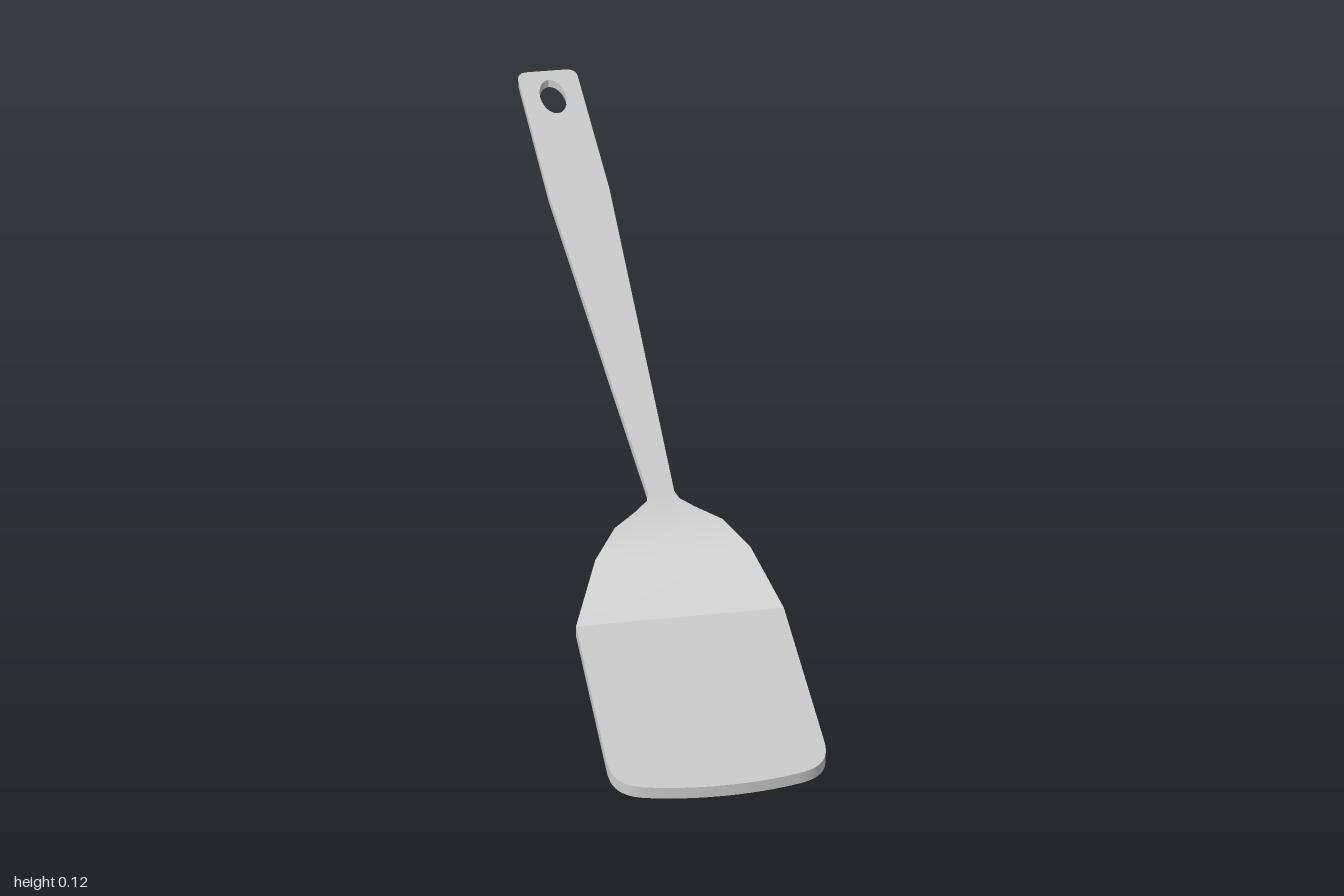
import * as THREE from 'three';
import { toCreasedNormals } from 'three/addons/utils/BufferGeometryUtils.js';

const material = new THREE.MeshStandardMaterial({ color: 0xcccccc });

// Extrude a plan drawn in (x, z) so that it lies flat from y = 0 to y = thickness
function plate(shape, thickness) {
  const geo = new THREE.ExtrudeGeometry(shape, { depth: thickness, bevelEnabled: false, curveSegments: 12 });
  return geo.rotateX(Math.PI / 2).translate(0, thickness, 0);
}

// Skin rectangular sections [z, half width, bottom y, top y], running towards -z
function loft(sections) {
  const pos = [], index = [];
  for (const [z, w, b, t] of sections) pos.push(-w, b, z, w, b, z, w, t, z, -w, t, z);
  for (let i = 0; i < sections.length - 1; i++) {
    for (let k = 0; k < 4; k++) {
      const a = i * 4 + k, b = i * 4 + (k + 1) % 4;
      index.push(a, a + 4, b, b, a + 4, b + 4);
    }
  }
  const geo = new THREE.BufferGeometry();
  geo.setAttribute('position', new THREE.Float32BufferAttribute(pos, 3));
  geo.setIndex(index);
  return geo;
}

function part(name, geo) {
  const mesh = new THREE.Mesh(toCreasedNormals(geo, 0.5), material);
  mesh.name = name;
  return mesh;
}

export function createModel() {
  const group = new THREE.Group();
  group.name = 'spatula';

  // Flat blade with rounded corners and a bowed front edge
  const blade = new THREE.Shape();
  blade.moveTo(-0.163, 0.59);
  blade.lineTo(0.163, 0.59);
  blade.lineTo(0.163, 0.92);
  blade.bezierCurveTo(0.163, 0.96, 0.15, 0.98, 0.115, 0.988);
  blade.quadraticCurveTo(0.06, 1, 0, 1);
  blade.quadraticCurveTo(-0.06, 1, -0.115, 0.988);
  blade.bezierCurveTo(-0.15, 0.98, -0.163, 0.96, -0.163, 0.92);
  blade.closePath();
  group.add(part('blade', plate(blade, 0.02)));

  // Neck rising from the blade and narrowing to the handle
  group.add(part('neck', loft([
    [0.59, 0.163, 0, 0.02],
    [0.515, 0.122, 0.07, 0.088],
    [0.47, 0.085, 0.096, 0.113],
    [0.437, 0.046, 0.103, 0.118],
    [0.415, 0.026, 0.105, 0.12],
    [0.395, 0.021, 0.105, 0.12],
  ])));

  // Widening handle with a rounded end and an oval hanging hole
  const handle = new THREE.Shape();
  handle.moveTo(-0.021, 0.395);
  handle.lineTo(-0.055, -0.55);
  handle.lineTo(-0.056, -0.97);
  handle.quadraticCurveTo(-0.056, -1, -0.035, -1);
  handle.lineTo(0.035, -1);
  handle.quadraticCurveTo(0.056, -1, 0.056, -0.97);
  handle.lineTo(0.055, -0.55);
  handle.lineTo(0.021, 0.395);
  handle.closePath();
  const hole = new THREE.Path();
  hole.absellipse(0, -0.9, 0.024, 0.064, 0, Math.PI * 2);
  handle.holes.push(hole);
  const handleGeo = plate(handle, 0.015);

  // Let the handle slope gently down towards its end
  const p = handleGeo.attributes.position;
  for (let i = 0; i < p.count; i++) {
    p.setY(i, p.getY(i) + 0.105 + (p.getZ(i) - 0.395) * 0.007);
  }
  group.add(part('handle', handleGeo));

  return group;
}
